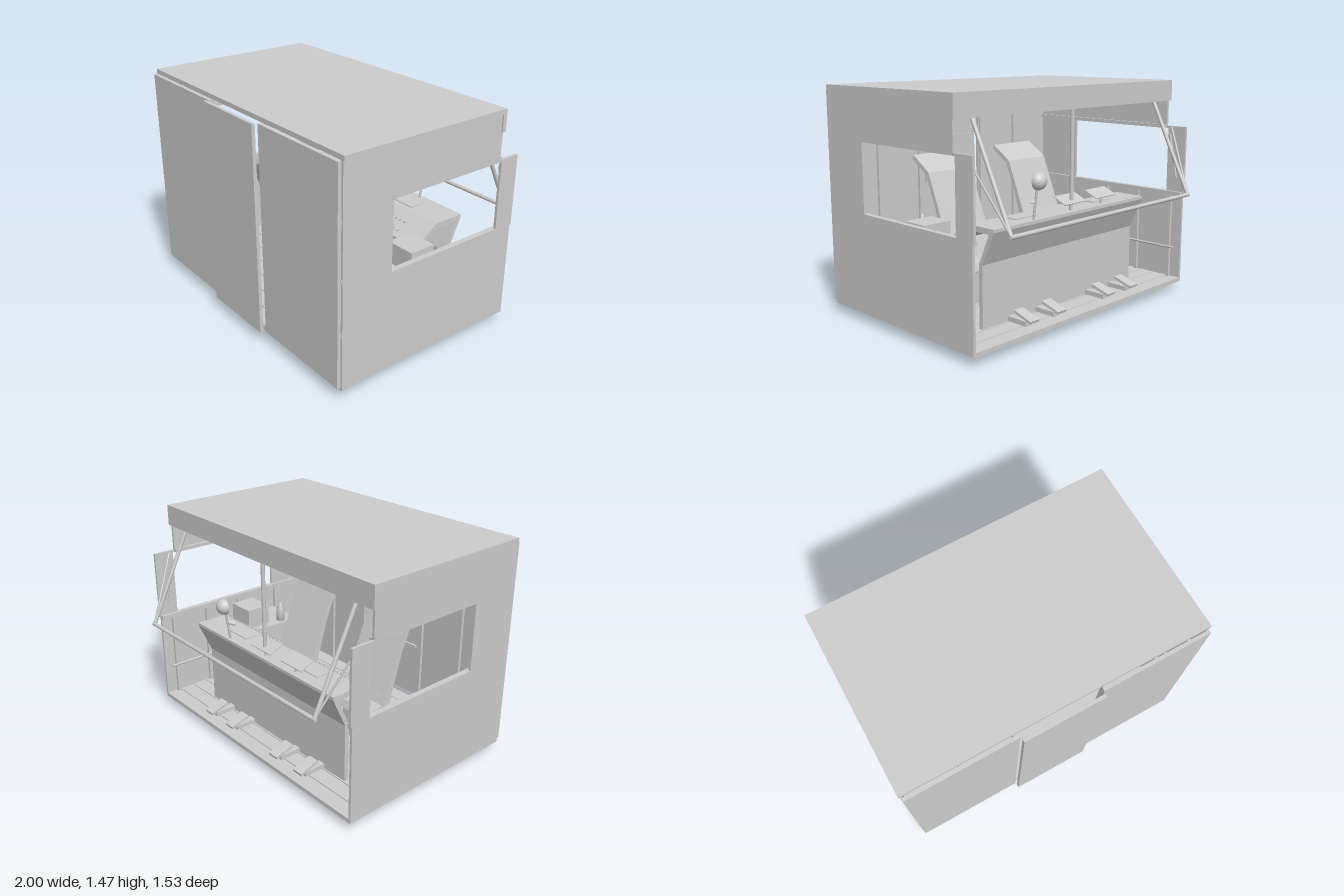
import * as THREE from 'three';

const mat = new THREE.MeshStandardMaterial({ color: 0xcccccc, flatShading: true, side: THREE.DoubleSide });
const smooth = new THREE.MeshStandardMaterial({ color: 0xcccccc, side: THREE.DoubleSide });

export function createModel() {
  const root = new THREE.Group();

  const add = (name, geo, m = mat) => {
    const mesh = new THREE.Mesh(geo, m);
    mesh.name = name;
    root.add(mesh);
    return mesh;
  };
  // Box from its min and max on each axis
  const box = (name, x0, x1, y0, y1, z0, z1) => {
    const mesh = add(name, new THREE.BoxGeometry(x1 - x0, y1 - y0, z1 - z0));
    mesh.position.set((x0 + x1) / 2, (y0 + y1) / 2, (z0 + z1) / 2);
    return mesh;
  };
  // Round bar between two points
  const rod = (name, a, b, r = 0.012) => {
    const p = new THREE.Vector3(...a), q = new THREE.Vector3(...b);
    const mesh = add(name, new THREE.CylinderGeometry(r, r, p.distanceTo(q), 10), smooth);
    mesh.position.copy(p).lerp(q, 0.5);
    mesh.quaternion.setFromUnitVectors(new THREE.Vector3(0, 1, 0), q.sub(p).normalize());
    return mesh;
  };
  // Extrude a (z, y) outline along x from x0 to x1
  const profile = (name, pts, x0, x1, hole) => {
    const shape = new THREE.Shape(pts.map(p => new THREE.Vector2(...p)));
    if (hole) shape.holes.push(new THREE.Path(hole.map(p => new THREE.Vector2(...p))));
    const geo = new THREE.ExtrudeGeometry(shape, { depth: x1 - x0, bevelEnabled: false });
    geo.rotateY(-Math.PI / 2).translate(x1, 0, 0);
    return add(name, geo);
  };

  // Floor with planks
  box('floor', -0.985, 0.985, 0.055, 0.075, -0.62, 0.7);
  for (let i = 0; i < 12; i++) {
    const z = -0.62 + i * 0.11;
    box('floorPlank', -0.975, 0.975, 0.075, 0.083, z, z + 0.104);
  }

  // Roof with a deep rear lip
  box('roof', -1, 1, 1.44, 1.47, -0.49, 0.7);
  box('roofLip', -1, 1, 1.33, 1.44, -0.49, -0.462);

  // Side walls with large window openings, front panels, ribs and grab rails
  const wall = [[0.7, 0.06], [0.7, 1.44], [-0.475, 1.44], [-0.475, 1.155], [-0.63, 1.155], [-0.63, 0.69], [-0.62, 0.69], [-0.62, 0.06]];
  const opening = [[0.355, 0.7], [-0.49, 0.7], [-0.49, 1.14], [0.355, 1.14]];
  for (const s of [-1, 1]) {
    const side = (a, b) => [Math.min(s * a, s * b), Math.max(s * a, s * b)];
    profile('sideWall', wall, ...side(0.975, 0.992), opening);
    box('frontPanel', ...side(0.27, 0.985), 0.08, 1.44, 0.705, 0.728);
    box('doorPost', ...side(0.275, 0.3), 0.08, 1.44, 0.685, 0.705);
    box('windowSill', ...side(0.955, 0.976), 0.67, 0.7, -0.62, 0.7);
    box('windowHeader', ...side(0.955, 0.976), 1.14, 1.165, -0.475, 0.7);
    for (const z of [-0.53, -0.25, 0.03, 0.38, 0.66])
      box('wallRib', ...side(0.955, 0.976), 0.08, 0.67, z - 0.012, z + 0.012);
    box('frontStud', ...side(0.62, 0.64), 0.08, 1.44, 0.685, 0.705);
    rod('grabRail', [s * 0.95, 0.3, -0.58], [s * 0.95, 0.3, -0.1], 0.008);
    rod('postHandle', [s * 0.96, 0.8, -0.575], [s * 0.96, 1.1, -0.515], 0.008);
  }
  for (const y of [0.42, 0.76, 1.1])
    for (const s of [-1, 1]) box('panelHinge', s * 0.98 - 0.006, s * 0.98 + 0.006, y - 0.012, y + 0.012, 0.695, 0.71);

  // Sliding door standing proud of the doorway
  box('door', -0.265, 0.265, 0.08, 1.443, 0.742, 0.764);
  for (const [y, h] of [[0.465, 0.015], [0.81, 0.12], [1.065, 0.015]])
    box('doorBracket', -0.21, 0.21, y - h / 2, y + h / 2, 0.726, 0.743);

  // Swung-out rear window frame
  for (const s of [-1, 1]) {
    rod('windowFrameArm', [s * 0.835, 1.36, -0.44], [s * 0.835, 0.72, -0.752], 0.013);
    rod('windowFrameStay', [s * 0.955, 1.15, -0.53], [s * 0.835, 0.72, -0.752], 0.007);
  }
  rod('windowFrameBar', [-0.847, 0.72, -0.752], [0.847, 0.72, -0.752], 0.013);
  rod('windowFrameTopBar', [-0.835, 1.36, -0.44], [0.835, 1.36, -0.44], 0.01);
  rod('centrePost', [0, 0.725, -0.445], [0, 1.44, -0.445], 0.013);

  // Control console: kick panel, flared apron, desk and sloping control face
  profile('console', [[-0.39, 0.08], [-0.39, 0.47], [-0.485, 0.675], [-0.485, 0.695], [-0.27, 0.695], [-0.1, 0.58],
    [-0.1, 0.56], [-0.28, 0.66], [-0.445, 0.66], [-0.36, 0.47], [-0.36, 0.08]], -0.69, 0.71);
  for (const s of [-1, 1]) {
    const x = s * 0.36;
    for (let i = 0; i < 12; i++) {
      const row = Math.floor(i / 6);
      const knob = add('controlButton', new THREE.CylinderGeometry(0.01, 0.01, 0.025, 8), smooth);
      knob.position.set(x + s * 0.2 * (row - 0.5) + (i % 3 - 1) * 0.04, 0.645 - (i % 6 > 2 ? 0.04 : 0), -0.2 + (i % 6 > 2 ? 0.06 : 0));
      knob.rotation.x = 0.59;
    }
    const tray = box('deskTray', x - 0.09, x + 0.09, 0.696, 0.702, -0.4, -0.3);
    tray.name = 'deskTray';
  }
  // Small tilted plates and lamp on the desk
  for (const x of [0, -0.3]) {
    const plate = box('tiltedPlate', x - 0.1, x + 0.1, 0.762, 0.768, -0.485, -0.38);
    plate.rotation.x = -0.42;
    rod('plateStand', [x, 0.69, -0.44], [x, 0.762, -0.44], 0.01);
  }
  rod('lampStem', [0.36, 0.69, -0.46], [0.36, 0.9, -0.49], 0.008);
  const lamp = add('lampHead', new THREE.SphereGeometry(0.055, 16, 8, 0, Math.PI * 2, 0, Math.PI / 2), smooth);
  lamp.position.set(0.36, 0.93, -0.495);
  lamp.rotation.x = -Math.PI / 2;
  rod('lampSwivel', [0.34, 0.795, -0.43], [0.38, 0.81, -0.47], 0.015);

  // Foot pedals in two pairs
  for (const x of [-0.48, -0.24, 0.24, 0.48]) {
    box('pedalBase', x - 0.025, x + 0.025, 0.085, 0.115, -0.54, -0.39);
    const pad = box('pedalPad', x - 0.038, x + 0.038, 0.135, 0.152, -0.59, -0.45);
    pad.rotation.x = -0.3;
  }

  // Two seats with thin bent backs, on pedestals that show under the floor
  const seat = [[-0.06, 0.31], [-0.04, 0.36], [0.07, 0.37], [0.2, 0.69], [0.29, 0.91], [0.355, 0.955], [0.44, 1.01],
    [0.45, 0.985], [0.37, 0.93], [0.315, 0.895], [0.23, 0.69], [0.12, 0.32], [-0.04, 0.3]];
  for (const s of [-1, 1]) {
    const x = s * 0.36;
    profile('seat', seat, x - 0.18, x + 0.18);
    box('seatPedestal', x - 0.1, x + 0.1, 0.08, 0.31, -0.01, 0.12);
    box('underfloorPad', x - 0.17, x + 0.17, 0, 0.056, 0, 0.345);
    box('underfloorBar', x - 0.17, x + 0.17, 0.025, 0.05, -0.442, -0.375);
    box('underfloorBarStem', x - 0.03, x + 0.03, 0.045, 0.06, -0.42, -0.4);
  }

  // Side cabinet with a bottle
  box('sideCabinet', 0.62, 0.92, 0.08, 0.54, -0.1, 0.32);
  box('cabinetBox', 0.68, 0.88, 0.54, 0.68, -0.08, 0.1);
  const bottle = add('bottle', new THREE.LatheGeometry(
    [[0, 0], [0.03, 0], [0.03, 0.09], [0.012, 0.11], [0.012, 0.14], [0, 0.14]].map(p => new THREE.Vector2(...p)), 14), smooth);
  bottle.position.set(0.67, 0.54, 0.2);

  return root;
}
